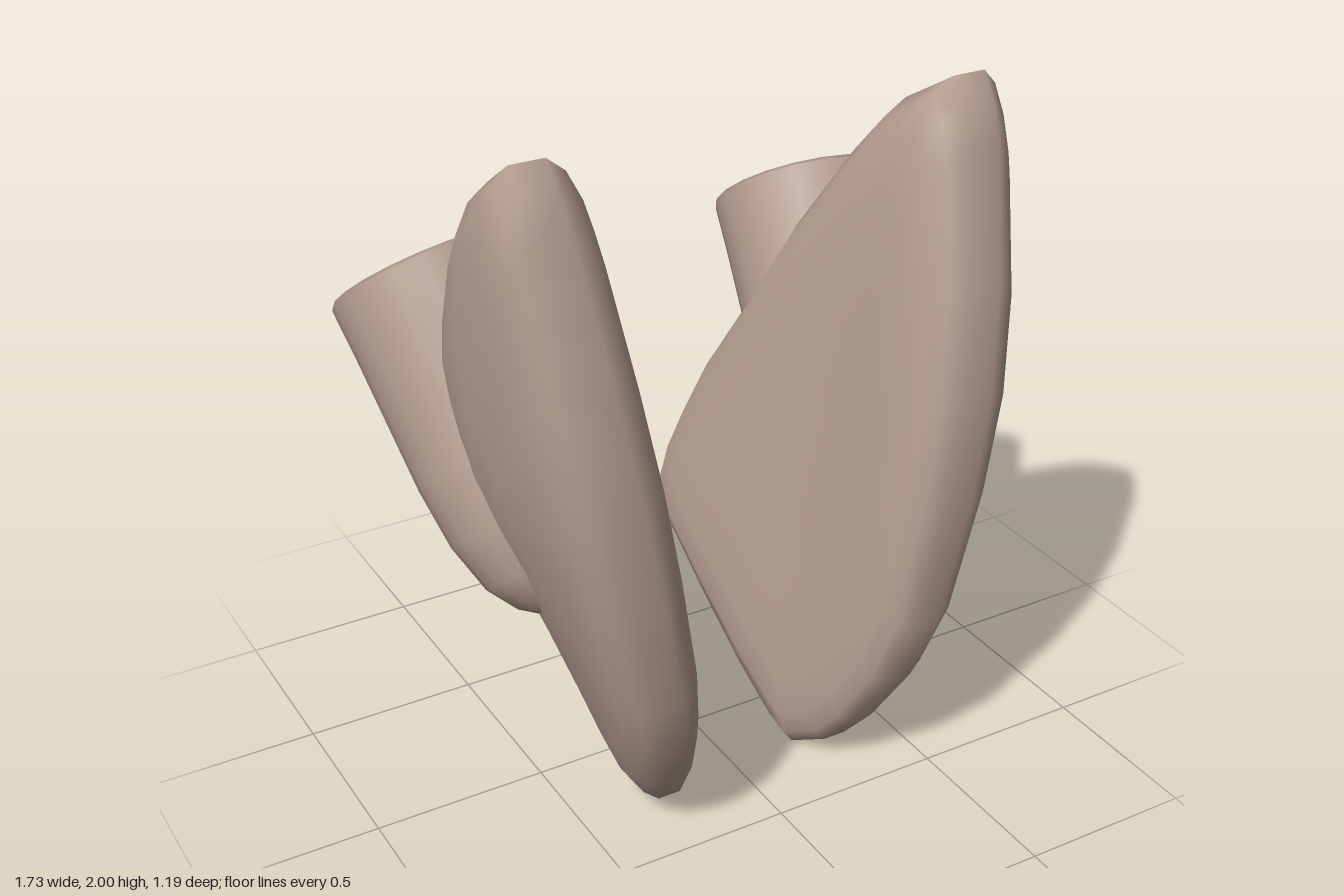
import * as THREE from 'three';

// Blade outline as [z, y], front edge downwards, then up the back
const OUTLINE = [
  [0.33, 2.0], [0.385, 1.93], [0.43, 1.84], [0.53, 1.5], [0.585, 1.2], [0.6, 0.9],
  [0.585, 0.55], [0.53, 0.35], [0.43, 0.17], [0.35, 0.07], [0.23, 0.0], [0.16, 0.03],
  [0.0, 0.14], [-0.2, 0.3], [-0.42, 0.49], [-0.45, 0.57], [-0.44, 0.68], [-0.4, 0.82],
  [-0.34, 0.99], [-0.21, 1.25], [-0.08, 1.52], [0.08, 1.78], [0.17, 1.9], [0.25, 1.95],
];
const CENTRE = [0.1, 0.88];

// Rounded edge: [outline scale, share of the half thickness]
const HALF = [[0.2, 1], [0.4, 1], [0.6, 1], [0.75, 0.98], [0.88, 0.9], [0.96, 0.66], [1, 0.33]];
const RINGS = [...HALF, ...HALF.slice().reverse().map(([s, t]) => [s, -t])];

// Flat inner face leaning outwards; fuller outer face that swells around the peg.
// The front edge bends slightly inwards.
function bladePoint(z, y, t) {
  const bend = 0.2 * Math.max(0, z - 0.1) ** 2;
  const inner = 0.09 + 0.16 * y + 0.24 * z;
  const swell = 0.085 * Math.exp(-((y - 1.1) ** 2) / 0.25 - ((z - 0.1) ** 2) / 0.12);
  const outer = 0.28 + 0.33 * y - 0.062 * y * y + 0.24 * z + 0.1 * y * (0.35 - z) + swell;
  return [(inner + outer) / 2 + t * (outer - inner) / 2 - bend, y, z];
}

function bladeGeometry() {
  const n = OUTLINE.length, pos = [], idx = [];
  for (const [s, t] of RINGS) {
    for (const [z, y] of OUTLINE) {
      pos.push(...bladePoint(CENTRE[0] + (z - CENTRE[0]) * s, CENTRE[1] + (y - CENTRE[1]) * s, t));
    }
  }
  const outer = RINGS.length * n, inner = outer + 1;
  pos.push(...bladePoint(...CENTRE, 1), ...bladePoint(...CENTRE, -1));
  for (let i = 0; i < n; i++) {
    const j = (i + 1) % n;
    for (let r = 0; r < RINGS.length - 1; r++) {
      const a = r * n + i, b = r * n + j, c = a + n, d = b + n;
      idx.push(a, c, b, c, d, b);
    }
    const last = (RINGS.length - 1) * n;
    idx.push(outer, i, j, inner, last + j, last + i);
  }
  const g = new THREE.BufferGeometry();
  g.setAttribute('position', new THREE.Float32BufferAttribute(pos, 3));
  g.setIndex(idx);
  g.computeVertexNormals();
  return g;
}

// Round peg that tapers where it sinks into the blade
function pegGeometry() {
  const top = new THREE.Vector3(0.6, 1.455, -0.385);
  const foot = new THREE.Vector3(0.48, 0.68, 0.22);
  const axis = top.clone().sub(foot);
  const len = axis.length();
  const profile = [
    [0, 0], [0.07, 0.01], [0.14, 0.06], [0.195, 0.14], [0.235, 0.28], [0.252, 0.45],
    [0.262, len - 0.15], [0.268, len - 0.01], [0.262, len], [0.19, len], [0, len],
  ].map(([r, y]) => new THREE.Vector2(r, y));
  const g = new THREE.LatheGeometry(profile, 20);
  g.applyQuaternion(new THREE.Quaternion().setFromUnitVectors(new THREE.Vector3(0, 1, 0), axis.normalize()));
  g.translate(foot.x, foot.y, foot.z);
  return g;
}

// Mirror across x = 0 and restore the facing of the triangles
function mirrored(geometry) {
  const g = geometry.clone().scale(-1, 1, 1);
  const index = g.index.array;
  for (let i = 0; i < index.length; i += 3) {
    [index[i + 1], index[i + 2]] = [index[i + 2], index[i + 1]];
  }
  return g;
}

export function createModel() {
  const group = new THREE.Group();
  const material = new THREE.MeshStandardMaterial({ color: 0xb39b8f });
  const parts = { Blade: bladeGeometry(), Peg: pegGeometry() };
  for (const side of ['left', 'right']) {
    const half = new THREE.Group();
    half.name = side + 'Half';
    for (const [name, geometry] of Object.entries(parts)) {
      const mesh = new THREE.Mesh(side === 'left' ? geometry : mirrored(geometry), material);
      mesh.name = side + name;
      half.add(mesh);
    }
    group.add(half);
  }
  return group;
}
